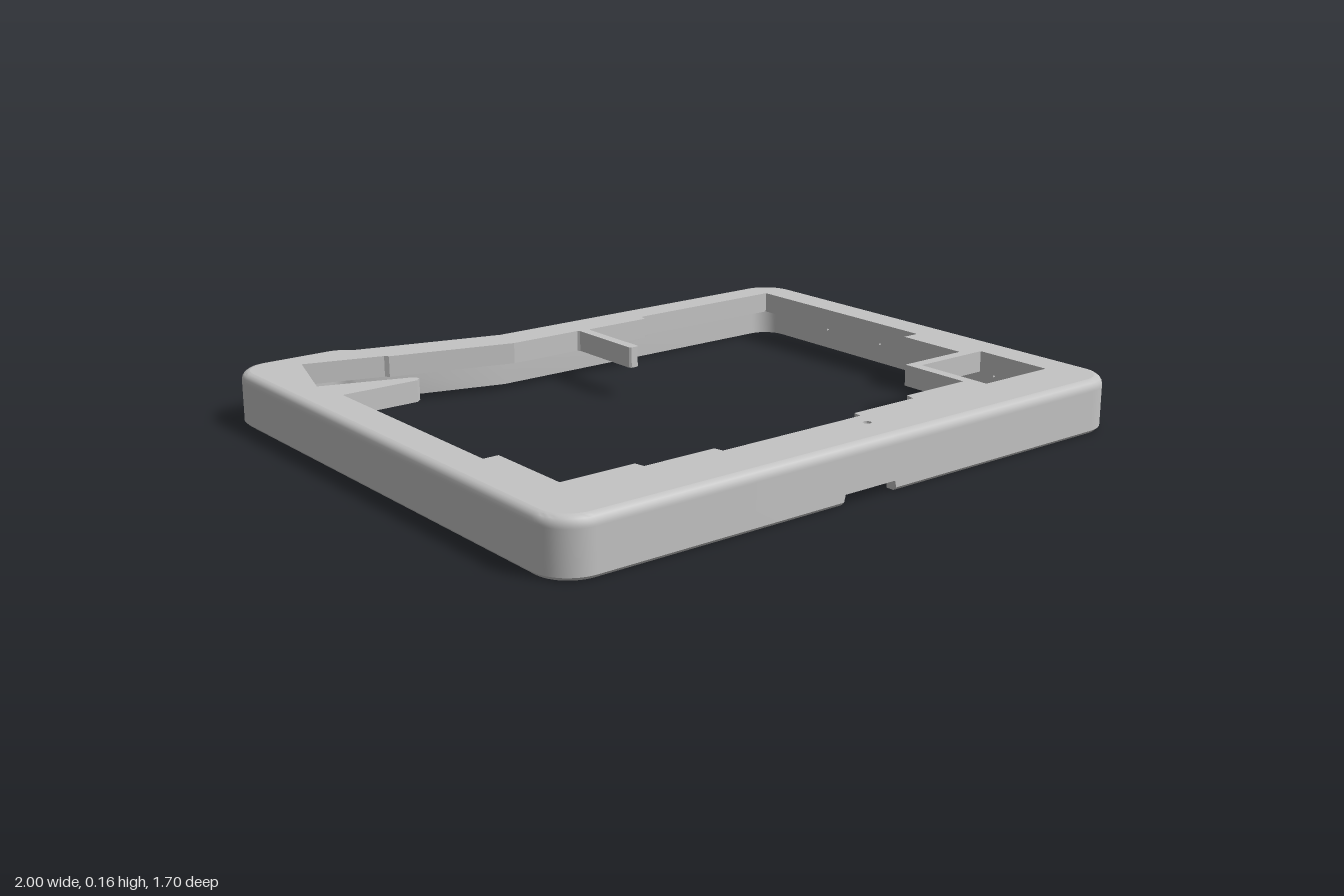
import * as THREE from 'three';
import { toCreasedNormals } from 'three/addons/utils/BufferGeometryUtils.js';

const HEIGHT = 0.16, UNDERSIDE = 0.095, BEVEL = 0.025, WALL = 0.035, FRONT = 0.848;
const NOTCH = [0.09, 0.085, -0.095, -0.1];

// Outer outline as (x, z) points, clockwise seen from above
function outlinePoints() {
  const p = new THREE.Path(), q = Math.PI / 2;
  p.absarc(-0.89, -FRONT + 0.11, 0.11, 2 * q, 3 * q);
  p.lineTo(-0.68, -FRONT);
  p.quadraticCurveTo(-0.635, -FRONT, -0.6, -0.812);
  p.lineTo(-0.15, -0.69);
  p.absarc(0.89, -0.58, 0.11, 3 * q, 4 * q);
  p.absarc(0.89, FRONT - 0.11, 0.11, 0, q);
  NOTCH.forEach((x) => p.lineTo(x, FRONT));
  p.absarc(-0.89, FRONT - 0.11, 0.11, q, 2 * q);
  const pts = p.getPoints(6);
  return pts.filter((a, i) => a.distanceTo(pts[(i + 1) % pts.length]) > 1e-3);
}

// Move the outline inwards with mitred corners
function inset(pts, d) {
  const n = pts.length;
  return pts.map((p, i) => {
    const a = p.clone().sub(pts[(i + n - 1) % n]).normalize();
    const b = pts[(i + 1) % n].clone().sub(p).normalize();
    const m = new THREE.Vector2(-a.y - b.y, a.x + b.x);
    return p.clone().addScaledVector(m, d / (1 + a.dot(b)));
  });
}

// Sweep an (inset, height) profile round the outline, raised at the front notch
function sweepWall(outline) {
  const profile = [];
  for (let k = 0; k <= 4; k++) {
    const t = (k / 4) * Math.PI / 2;
    profile.push([BEVEL * (1 - Math.sin(t)), HEIGHT - BEVEL * (1 - Math.cos(t))]);
  }
  profile.push([0, 0.13], [0, 0.01], [0.01, 0], [WALL, 0], [WALL, UNDERSIDE]);
  const pos = [], index = [], n = outline.length;
  profile.forEach(([d, y]) => inset(outline, d).forEach((p) => {
    const inNotch = p.y > 0.8 && p.x < 0.087 && p.x > -0.097;
    pos.push(p.x, inNotch ? Math.max(y, 0.03) : y, p.y);
  }));
  for (let j = 0; j < profile.length - 1; j++) {
    for (let i = 0; i < n; i++) {
      const a = j * n + i, b = j * n + (i + 1) % n;
      index.push(a, b, a + n, b, b + n, a + n);
    }
  }
  const g = new THREE.BufferGeometry();
  g.setAttribute('position', new THREE.Float32BufferAttribute(pos, 3));
  g.setIndex(index);
  return toCreasedNormals(g, 0.6);
}

const toPath = (pts) => new THREE.Path(pts.map(([x, z]) => new THREE.Vector2(x, -z)));

export function createModel() {
  const group = new THREE.Group();
  const grey = new THREE.MeshStandardMaterial({ color: 0xc4c4c4 });
  grey.name = 'grey plastic';
  const add = (name, geometry) => {
    const mesh = new THREE.Mesh(geometry, grey);
    mesh.name = name;
    group.add(mesh);
    return mesh;
  };
  const outline = outlinePoints();

  // Outer wall with rounded top edge
  add('outerWall', sweepWall(outline));

  // Top plate (counter-clockwise) with the stepped main opening, rib and spur
  const plate = new THREE.Shape(
    inset(outline, BEVEL).map((p) => new THREE.Vector2(p.x, -p.y)).reverse());
  plate.holes.push(toPath([
    [-0.815, -0.742], [-0.575, -0.672], [-0.565, -0.66], [-0.18, -0.555],
    [0.062, -0.555], [0.068, -0.548], [0.068, -0.29], [0.074, -0.284],
    [0.096, -0.284], [0.102, -0.29], [0.102, -0.542], [0.108, -0.549],
    [0.33, -0.549], [0.336, -0.572], [0.342, -0.577], [0.885, -0.577],
    [0.885, 0.147], [0.828, 0.147], [0.828, 0.382], [0.593, 0.382],
    [0.593, 0.614], [0.362, 0.614], [0.356, 0.644], [0.129, 0.644],
    [0.123, 0.672], [-0.362, 0.672], [-0.368, 0.644], [-0.595, 0.644],
    [-0.601, 0.614], [-0.83, 0.614], [-0.83, 0.347], [-0.877, 0.347],
    [-0.877, -0.377], [-0.635, -0.377], [-0.617, -0.395], [-0.63, -0.413],
    [-0.893, -0.5],
  ]));
  // Square corner window
  plate.holes.push(toPath([[0.627, 0.417], [0.885, 0.417], [0.885, 0.672], [0.627, 0.672]]));
  // Pinhole
  const pin = new THREE.Path();
  pin.absarc(0.095, -0.727, 0.012, 0, Math.PI * 2);
  plate.holes.push(pin);
  const plateGeo = new THREE.ExtrudeGeometry(plate, {
    depth: HEIGHT - UNDERSIDE, bevelEnabled: false, curveSegments: 8,
  });
  plateGeo.rotateX(-Math.PI / 2);
  add('topPlate', plateGeo).position.y = UNDERSIDE;

  // Small snap ledges inside the side and front walls
  for (const side of [-1, 1]) {
    for (let i = 0; i < 5; i++) {
      add('sideLedge', new THREE.BoxGeometry(0.012, 0.035, 0.22))
        .position.set(side * (1 - WALL - 0.004), 0.08, -0.45 + i * 0.25);
    }
    add('frontLedge', new THREE.BoxGeometry(0.14, 0.02, 0.012))
      .position.set(side * 0.75, 0.07, FRONT - WALL - 0.004);
  }
  return group;
}
